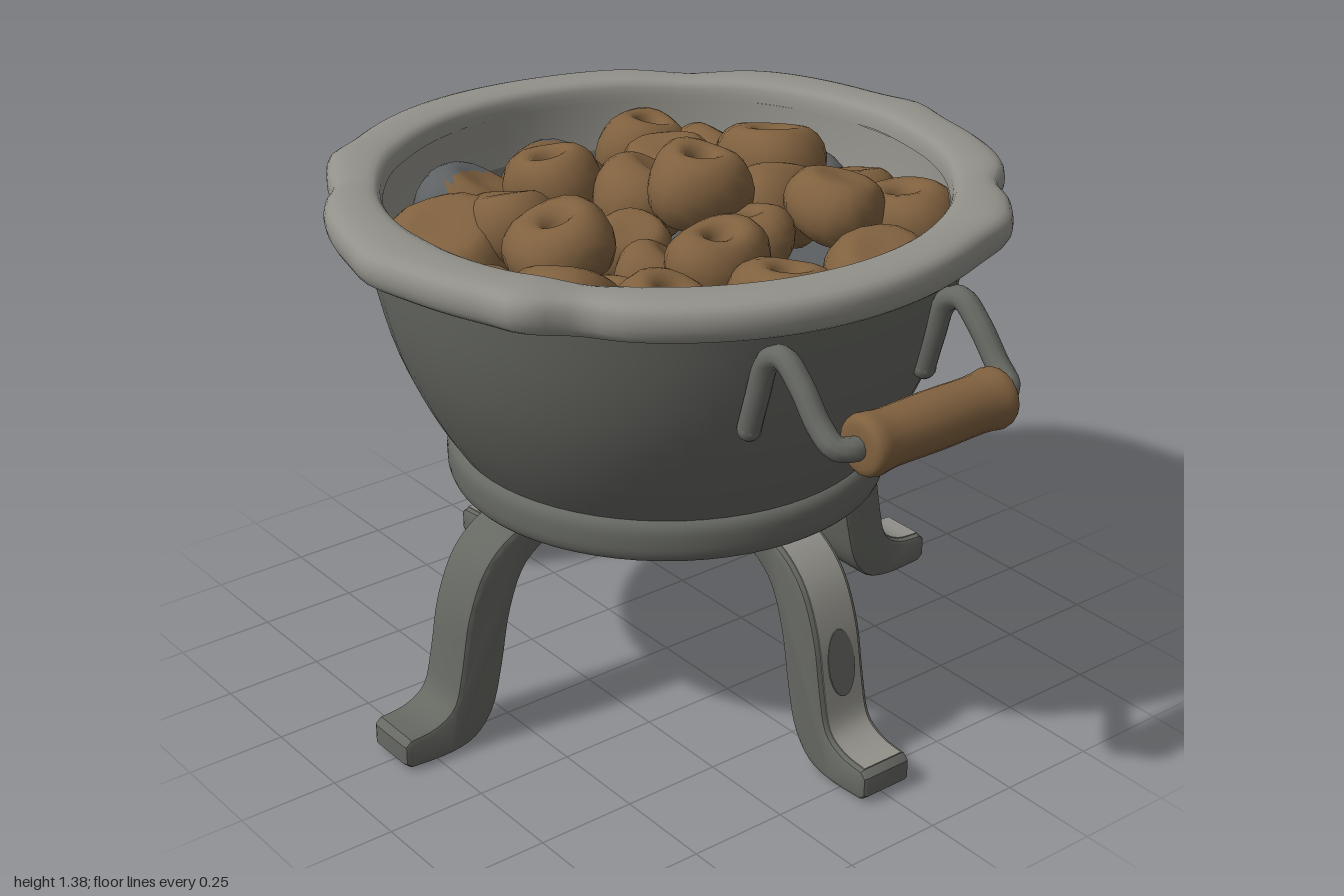
import * as THREE from 'three';
import { mergeVertices, toCreasedNormals } from 'three/addons/utils/BufferGeometryUtils.js';

const material = (name, color, side = THREE.FrontSide) => {
  const m = new THREE.MeshStandardMaterial({ color, side });
  m.name = name;
  return m;
};
const V2 = (a) => a.map(([x, y]) => new THREE.Vector2(x, y));
const V3 = (a) => a.map((p) => new THREE.Vector3(...p));
const smooth = (a, n) => new THREE.SplineCurve(V2(a)).getPoints(n);

export function createModel() {
  const iron = material('dark iron', 0x666862);
  const worn = material('worn iron', 0x92918a, THREE.DoubleSide);
  const brown = material('brown', 0x80613f);
  const ash = material('ash grey', 0x5f6264);

  const model = new THREE.Group();
  model.name = 'brazier';
  const add = (parent, name, geometry, mat) => {
    const mesh = new THREE.Mesh(geometry, mat);
    mesh.name = name;
    parent.add(mesh);
    return mesh;
  };

  // Bowl: outer shell, worn inner wall and the ash bed inside
  add(model, 'bowl', new THREE.LatheGeometry(smooth([[0, 0.49], [0.2, 0.497], [0.36, 0.53], [0.46, 0.58],
    [0.53, 0.67], [0.6, 0.79], [0.66, 0.93], [0.7, 1.08], [0.725, 1.24]], 24), 64), iron);
  add(model, 'innerWall', new THREE.LatheGeometry(V2([[0.675, 1.27], [0.67, 1.2], [0.66, 1.14]]), 64), worn);
  add(model, 'innerBowl', new THREE.LatheGeometry(V2([[0.66, 1.14], [0.63, 1.04], [0.58, 0.98]]), 64), iron);
  add(model, 'ashBed', new THREE.LatheGeometry(V2([[0.62, 1.01], [0.4, 1.04], [0, 1.06]]), 48), ash);

  // Dented rim: hammered outline made by angle-dependent dents
  const rim = new THREE.LatheGeometry(smooth([[0.69, 1.232], [0.77, 1.226], [0.805, 1.24], [0.815, 1.275],
    [0.805, 1.308], [0.77, 1.322], [0.71, 1.322], [0.68, 1.308], [0.672, 1.27]], 20), 128);
  const dents = [[-0.87, 0.1, -0.035], [-0.57, 0.1, 0.02], [-2.4, 0.16, -0.04], [2.4, 0.09, 0.02], [2.15, 0.08, -0.02],
    [0.9, 0.09, -0.03], [1.05, 0.08, 0.03], [1.57, 0.1, 0.02], [-1.57, 0.1, 0.02]];
  const rp = rim.attributes.position;
  for (let i = 0; i < rp.count; i++) {
    const x = rp.getX(i), z = rp.getZ(i), r = Math.hypot(x, z), a = Math.atan2(z, x);
    const push = dents.reduce((s, [c, w, d]) => {
      const da = Math.atan2(Math.sin(a - c), Math.cos(a - c));
      return s + d * Math.exp(-((da / w) ** 2));
    }, 0.006 * Math.sin(5 * a) - 0.004 * Math.cos(2 * a));
    const k = 1 + push * Math.max(0, (r - 0.67) / 0.145) / r;
    rp.setXYZ(i, x * k, rp.getY(i) + push * 0.2, z * k);
  }
  rim.deleteAttribute('uv');
  rim.deleteAttribute('normal');
  const rimGeometry = mergeVertices(rim);
  rimGeometry.computeVertexNormals();
  add(model, 'rim', rimGeometry, worn);

  // Foot ring under the bowl
  add(model, 'baseRing', new THREE.LatheGeometry(smooth([[0.38, 0.56], [0.44, 0.556], [0.52, 0.557], [0.54, 0.575], [0.544, 0.61],
    [0.54, 0.645], [0.52, 0.665], [0.48, 0.668]], 24), 64), iron);

  // Four S-shaped legs
  const outer = smooth([[0.42, 0.57], [0.52, 0.545], [0.6, 0.475], [0.65, 0.36], [0.675, 0.23], [0.7, 0.135],
    [0.755, 0.098], [0.825, 0.09]], 28);
  const inner = smooth([[0.825, 0.01], [0.72, 0.006], [0.64, 0.025], [0.585, 0.09], [0.555, 0.2], [0.53, 0.33],
    [0.49, 0.435], [0.43, 0.49], [0.32, 0.54]], 28);
  const extrude = (points, depth, bevel) => {
    const g = new THREE.ExtrudeGeometry(new THREE.Shape(points), { depth: depth - 2 * bevel, bevelEnabled: bevel > 0,
      bevelSize: bevel, bevelThickness: bevel, bevelOffset: -bevel, bevelSegments: 2 });
    g.translate(0, 0, bevel - depth / 2);
    return toCreasedNormals(g, 0.6);
  };
  const offset = (d) => outer.map((p, i) => {
    const t = outer[Math.min(i + 1, outer.length - 1)].clone().sub(outer[Math.max(i - 1, 0)]).normalize();
    return new THREE.Vector2(p.x - t.y * d, p.y + t.x * d);
  });
  const legGeometry = extrude([...outer, ...V2([[0.842, 0.075], [0.842, 0.025]]), ...inner], 0.145, 0.014);
  const stripGeometry = extrude([...offset(0.003), ...offset(-0.004).reverse()], 0.115, 0);
  for (let k = 0; k < 4; k++) {
    const leg = new THREE.Group();
    leg.name = 'leg';
    leg.rotation.y = k * Math.PI / 2;
    add(leg, 'legBar', legGeometry, iron);
    if (k < 3) {
      // worn outer face with a dark patch left on it
      add(leg, 'wornStrip', stripGeometry, worn);
      const patch = add(leg, 'darkPatch', new THREE.CylinderGeometry(1, 1, 0.006, 20), iron);
      patch.scale.set(0.085, 1, 0.04);
      patch.rotation.z = -Math.PI / 2 + 0.2;
      patch.position.set(0.668, 0.285, 0);
    }
    model.add(leg);
  }

  // Side handles: bent rods and a wooden grip, mirrored
  const gripProfile = smooth([[0.03, -0.212], [0.06, -0.208], [0.072, -0.185], [0.066, -0.13], [0.068, 0],
    [0.066, 0.13], [0.072, 0.185], [0.06, 0.208], [0.03, 0.212]], 24);
  const gripPoints = [new THREE.Vector2(0, -0.212), ...gripProfile, new THREE.Vector2(0, 0.212)];
  for (const side of [-1, 1]) {
    const handle = new THREE.Group();
    handle.name = side > 0 ? 'leftHandle' : 'rightHandle';
    for (const s of [-1, 1]) {
      const path = new THREE.CatmullRomCurve3(V3([[0.63, 0.965, 0.262], [0.655, 1.05, 0.262], [0.69, 1.15, 0.262], [0.74, 1.175, 0.262],
        [0.8, 1.13, 0.262], [0.86, 1.06, 0.262], [0.905, 1.025, 0.255], [0.925, 1.02, 0.225], [0.925, 1.02, 0.19]]
        .map(([x, y, z]) => [x * side, y, z * s])));
      add(handle, 'handleRod', new THREE.TubeGeometry(path, 40, 0.028, 10), iron);
      const tip = add(handle, 'rodEnd', new THREE.SphereGeometry(0.029, 10, 8), iron);
      tip.position.set(0.63 * side, 0.965, 0.262 * s);
    }
    const grip = add(handle, 'grip', new THREE.LatheGeometry(gripPoints, 20), brown);
    grip.rotation.x = Math.PI / 2;
    grip.position.set(0.927 * side, 1.02, 0);
    model.add(handle);
  }

  // Heap of rough, dimpled lumps: x, z, radius, centre height, dimple, ashy
  let seed = 7;
  const rand = () => (seed = (seed * 16807) % 2147483647) / 2147483647;
  const body = [[0, -0.62], [0.45, -0.7], [0.85, -0.5], [1, -0.05], [0.92, 0.35], [0.7, 0.62], [0.45, 0.68]];
  const profiles = [[...body, [0, 0.66]], [...body, [0.25, 0.55], [0.14, 0.25], [0, 0.18]]].map((p) => {
    const pts = smooth(p, 16);
    pts[0].x = pts[16].x = 0;
    return pts;
  });
  const lump = (x, z, r, y, dimple = 0, ashy = 0) => {
    let g = new THREE.LatheGeometry(profiles[dimple], 18);
    g.deleteAttribute('uv');
    g.deleteAttribute('normal');
    g = mergeVertices(g);
    const p = g.attributes.position, ph = rand() * 6, v = new THREE.Vector3();
    for (let i = 0; i < p.count; i++) {
      v.fromBufferAttribute(p, i);
      v.multiplyScalar(1 + 0.07 * Math.sin(3 * v.x + ph) + 0.06 * Math.sin(3.5 * v.z + 2 * v.y + 2 * ph));
      p.setXYZ(i, v.x, v.y, v.z);
    }
    const tilt = dimple ? 0.5 : 1.2;
    g.scale(r, r, r);
    g.rotateY(rand() * 6);
    g.rotateX((rand() - 0.5) * tilt);
    g.rotateZ((rand() - 0.5) * tilt);
    g.translate(x, y, z);
    g.computeVertexNormals();
    if (!ashy) return add(heap, 'lump', g, brown);
    // ash clings to the faces nearest the bowl wall
    const sides = [[], []], id = g.index.array;
    for (let i = 0; i < id.length; i += 3) {
      const f = [id[i], id[i + 1], id[i + 2]];
      const mean = (fn) => f.reduce((s, n) => s + fn(n), 0) / 3;
      sides[Math.hypot(mean((n) => p.getX(n)), mean((n) => p.getZ(n))) > 0.56 ? 1 : 0].push(...f);
    }
    g.setIndex(sides.flat());
    g.addGroup(0, sides[0].length, 0);
    g.addGroup(sides[0].length, sides[1].length, 1);
    return add(heap, 'ashyLump', g, [brown, ash]);
  };
  const heap = new THREE.Group();
  heap.name = 'heap';
  model.add(heap);
  [[-0.46, -0.29, 0.125, 1.18, 1], [-0.12, -0.43, 0.14, 1.21, 1], [0.32, -0.48, 0.13, 1.18, 1], [0.07, -0.52, 0.125, 1.14],
    [-0.15, -0.54, 0.13, 1.1, 0, 1], [-0.31, -0.42, 0.14, 1.13], [-0.24, -0.2, 0.12, 1.2], [-0.5, -0.04, 0.14, 1.12, 0, 1],
    [-0.5, 0.23, 0.14, 1.12, 0, 1], [-0.32, 0.1, 0.12, 1.22, 1], [-0.14, -0.03, 0.135, 1.2], [0.04, -0.06, 0.13, 1.285, 1],
    [0.26, -0.3, 0.12, 1.24], [0.48, -0.24, 0.14, 1.13], [0.51, 0.06, 0.13, 1.17, 1], [0.3, 0.09, 0.12, 1.21, 1],
    [0.04, 0.34, 0.13, 1.22, 1], [-0.21, 0.31, 0.12, 1.19], [-0.27, 0.45, 0.16, 1.12], [0, 0.53, 0.12, 1.11, 0, 1],
    [0.23, 0.47, 0.14, 1.16], [0.4, 0.32, 0.14, 1.14, 1], [0.03, 0.14, 0.1, 1.17], [0.07, -0.26, 0.13, 1.19],
    [0.22, -0.09, 0.1, 1.2, 1], [0.17, 0.16, 0.1, 1.14], [-0.4, 0.38, 0.11, 1.08], [0.42, -0.08, 0.12, 1.08],
    [-0.1, 0.18, 0.12, 1.1], [0.2, 0.28, 0.12, 1.08], [-0.38, -0.12, 0.12, 1.08]].forEach((a) => lump(...a));

  return model;
}
